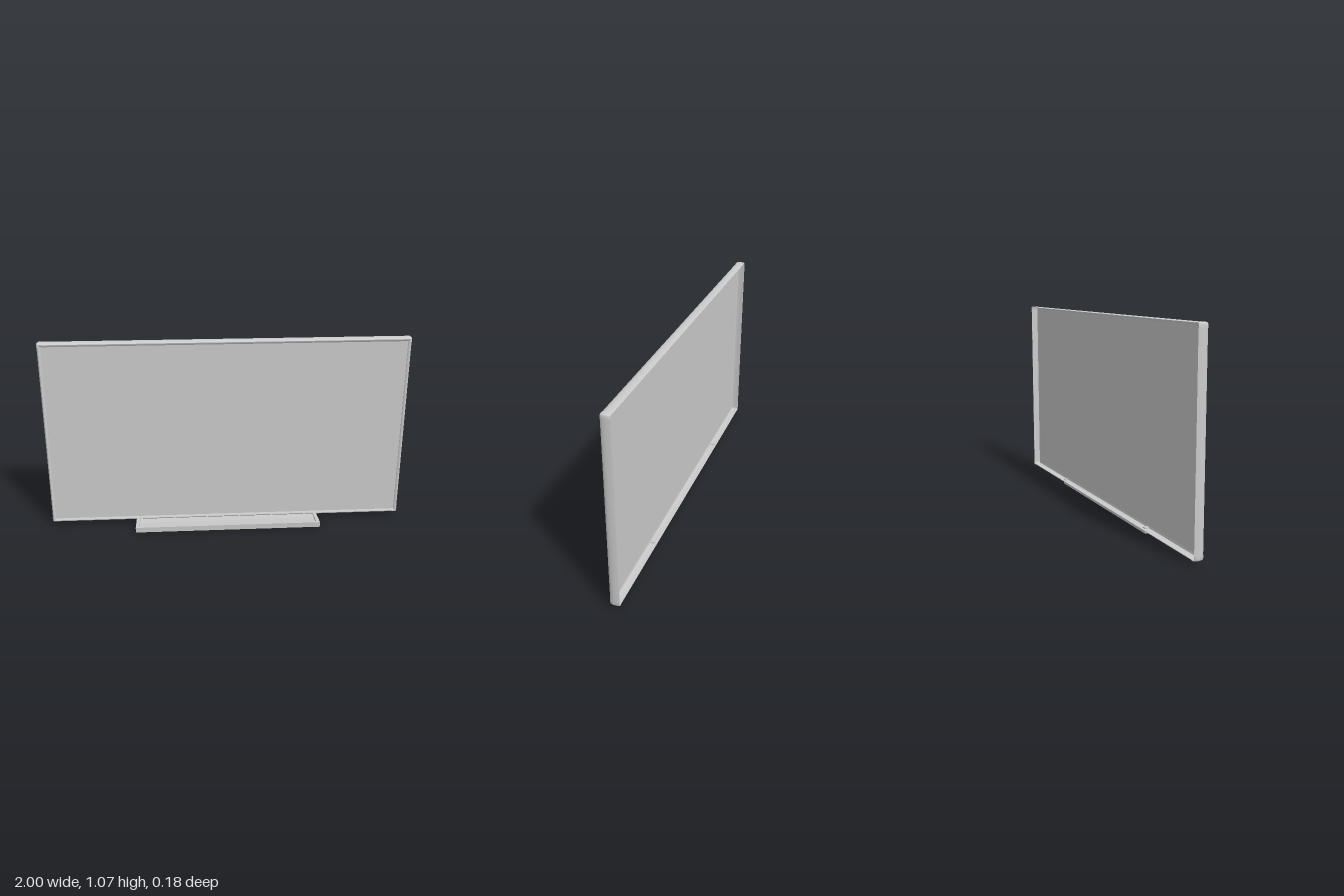
import * as THREE from 'three';
import { toCreasedNormals } from 'three/addons/utils/BufferGeometryUtils.js';

const HW = 1, HH = 0.526, CY = 0.544; // board half width, half height, centre height
const ARM = 0.028, R = 0.012;         // corner cap arm length and outer radius

const material = new THREE.MeshStandardMaterial({ color: 0xcccccc, side: THREE.DoubleSide });

// Frame cross-section: [distance inward from outer edge, z], a thin shell with a rounded front lip
const SECTION = [
  [0.003, -0.091], [0.001, -0.08], [0, -0.066], [0.001, -0.053], [0.004, -0.044],
  [0.009, -0.04], [0.016, -0.041], [0.021, -0.045], [0.021, -0.05],
  [0.006, -0.053], [0.004, -0.066], [0.006, -0.091],
];

function addMesh(group, name, geometry) {
  const mesh = new THREE.Mesh(geometry, material);
  mesh.name = name;
  group.add(mesh);
  return mesh;
}

// Sweeps the closed section along a path; each node maps an inset to an [x, y] point
function sweep(nodes, inset) {
  const rings = nodes.map(node => SECTION.map(([u, z]) => [...node(u + inset), z]));
  const pos = [], n = SECTION.length;
  for (let i = 0; i < rings.length - 1; i++) {
    for (let j = 0; j < n; j++) {
      const k = (j + 1) % n;
      const a = rings[i][j], b = rings[i + 1][j], c = rings[i + 1][k], d = rings[i][k];
      pos.push(...a, ...b, ...c, ...a, ...c, ...d);
    }
  }
  const g = new THREE.BufferGeometry();
  g.setAttribute('position', new THREE.Float32BufferAttribute(pos, 3));
  return toCreasedNormals(g, 0.6);
}

// Extrudes a [z, y] profile along x, centred on x
function extrudeAcross(points, width, x = 0) {
  const shape = new THREE.Shape(points.map(([z, y]) => new THREE.Vector2(z, y)));
  const g = new THREE.ExtrudeGeometry(shape, { depth: width, bevelEnabled: false });
  return g.rotateY(-Math.PI / 2).translate(x + width / 2, 0, 0);
}

export function createModel() {
  const model = new THREE.Group();
  model.name = 'whiteboard';

  // Writing panel, set just behind the front lip
  addMesh(model, 'panel', new THREE.BoxGeometry(2 * HW - 0.02, 2 * HH - 0.02, 0.004))
    .position.set(0, CY, -0.049);

  // Frame: four straight rails and four rounded corner caps
  const frame = new THREE.Group();
  frame.name = 'frame';
  frame.position.y = CY;
  model.add(frame);
  const sides = ['right', 'top', 'left', 'bottom'];
  for (let k = 0; k < 4; k++) {
    const [a, b] = k % 2 ? [HH, HW] : [HW, HH];
    const rail = [u => [a - u, ARM - b], u => [a - u, b - ARM]];
    const corner = [u => [a - u, b - ARM]];
    for (let i = 0; i <= 6; i++) {
      const t = (i / 6) * Math.PI / 2;
      corner.push(u => {
        const r = Math.max(0, R - u), c = Math.max(R, u);
        return [a - c + r * Math.cos(t), b - c + r * Math.sin(t)];
      });
    }
    corner.push(u => [a - ARM, b - u]);
    addMesh(frame, sides[k] + 'Rail', sweep(rail, 0.0015)).rotation.z = k * Math.PI / 2;
    addMesh(frame, 'cornerCap', sweep(corner, 0)).rotation.z = k * Math.PI / 2;
  }

  // Pen tray: flat at the back, tilting up slightly toward the front
  const tray = new THREE.Group();
  tray.name = 'tray';
  model.add(tray);
  addMesh(tray, 'trayFloor', extrudeAcross(
    [[-0.075, 0], [0, 0], [0.091, 0.009], [0.092, 0.029], [0, 0.02], [-0.075, 0.02]], 1.04));
  for (const s of [-1, 1]) {
    addMesh(tray, 'traySideRim', extrudeAcross(
      [[-0.075, 0.018], [0, 0.018], [0.092, 0.027], [0.093, 0.039], [0, 0.03], [-0.075, 0.03]],
      0.02, s * 0.51));
  }
  addMesh(tray, 'trayFrontRim', extrudeAcross(
    [[0.072, 0.025], [0.092, 0.027], [0.093, 0.039], [0.073, 0.037]], 1.0));

  return model;
}
